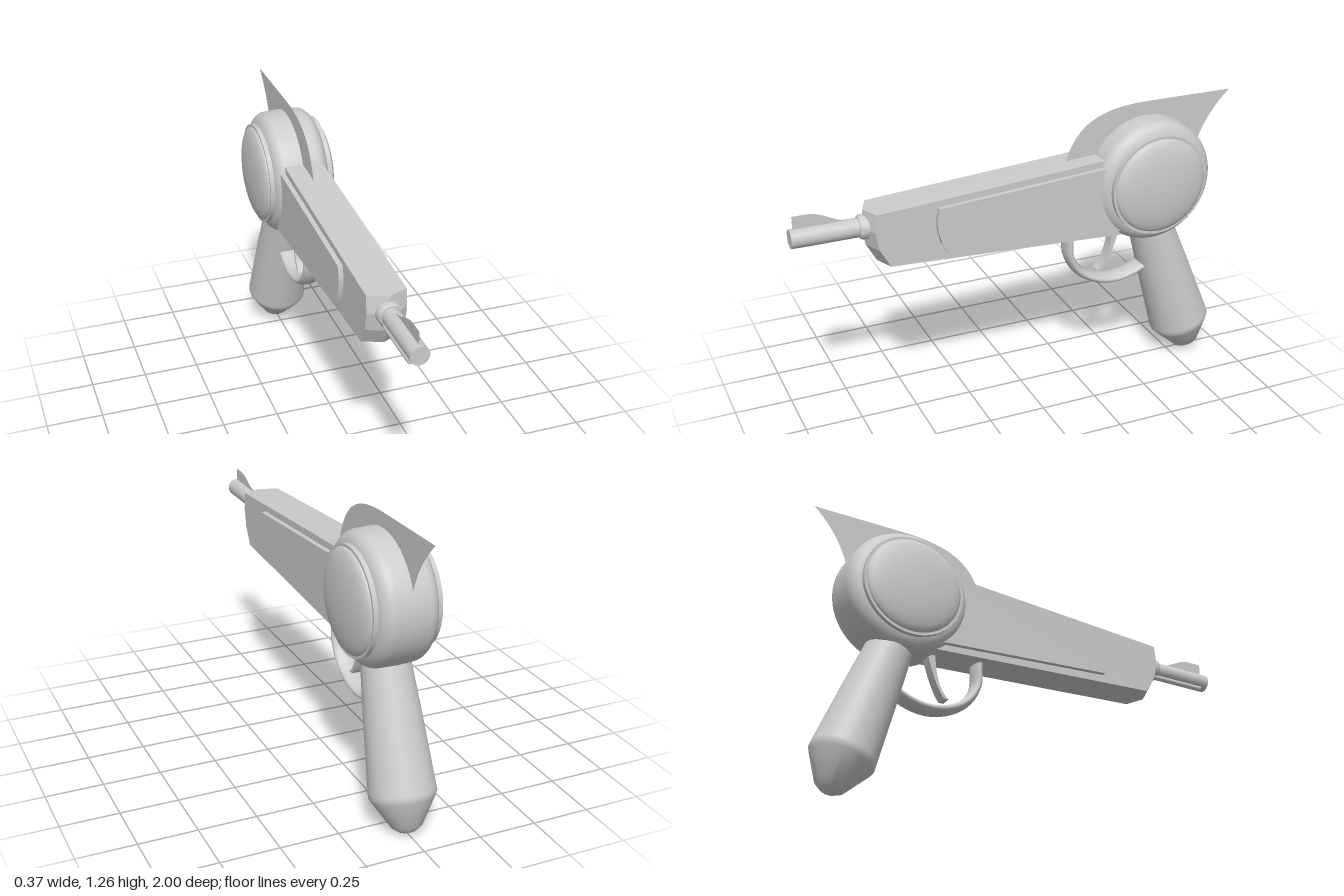
import * as THREE from 'three';
import { toCreasedNormals } from 'three/addons/utils/BufferGeometryUtils.js';

const grey = new THREE.MeshStandardMaterial({ color: 0xcccccc });
const greyThin = new THREE.MeshStandardMaterial({ color: 0xcccccc, side: THREE.DoubleSide });

function add(parent, name, geometry, material = grey) {
  const mesh = new THREE.Mesh(geometry, material);
  mesh.name = name;
  parent.add(mesh);
  return mesh;
}

// Side outline given as [z, y] points
const outline = pts => new THREE.Shape(pts.map(p => new THREE.Vector2(...p)));

// Outline extruded across x, centred on x = 0
function slab(shape, width, steps = 1) {
  const g = new THREE.ExtrudeGeometry(shape, { depth: width, steps, bevelEnabled: false, curveSegments: 10 });
  return g.translate(0, 0, -width / 2).rotateY(-Math.PI / 2);
}

// Flat, two-sided sheet on the x = 0 plane
const sheet = shape => new THREE.ShapeGeometry(shape, 16).rotateY(-Math.PI / 2);

// Turned part from [radius, height] points, with hard edges kept
function turned(pts, segments = 48) {
  const g = new THREE.LatheGeometry(pts.map(p => new THREE.Vector2(...p)), segments);
  return toCreasedNormals(g, 0.6);
}

export function createModel() {
  const model = new THREE.Group();
  model.name = 'rayGun';

  // Round drum with soft shoulders
  const drum = new THREE.Group();
  drum.name = 'drum';
  drum.position.set(0, 0.917, -0.593);
  model.add(drum);
  const shoulder = [];
  for (let i = 0; i <= 8; i++) {
    const a = (i / 8) * Math.PI / 2;
    shoulder.push([0.195 + 0.078 * Math.sin(a), 0.07 + 0.06 * Math.cos(a)]);
  }
  const drumProfile = [
    [0, -0.13], ...shoulder.map(([r, h]) => [r, -h]), [0.276, 0],
    ...shoulder.slice().reverse(), [0, 0.13],
  ];
  add(drum, 'drumBody', turned(drumProfile, 64).rotateZ(Math.PI / 2));

  // Rim and domed cover on both sides
  const dome = [];
  for (let i = 0; i <= 10; i++) {
    const a = (i / 10) * Math.PI / 2;
    dome.push([0.215 * Math.cos(a), 0.14 + 0.047 * Math.sin(a)]);
  }
  for (const [side, s] of [['left', 1], ['right', -1]]) {
    const rim = turned([[0.225, 0.08], [0.225, 0.145], [0.212, 0.145]], 64);
    add(drum, side + 'Rim', rim.rotateZ(-s * Math.PI / 2));
    const cover = turned([[0.215, 0.12], ...dome], 64);
    add(drum, side + 'Cover', cover.rotateZ(-s * Math.PI / 2));
  }

  // Tapered barrel housing with a wedge-shaped nose
  const housing = slab(outline([
    [-0.5, 1.058], [-0.5, 0.683], [0.645, 0.74], [0.69, 0.82], [0.705, 0.9], [0.695, 0.978],
  ]), 0.166, 2);
  const p = housing.attributes.position;
  for (let i = 0; i < p.count; i++) {
    if (p.getZ(i) > 0.6 && Math.abs(p.getX(i)) > 0.05) p.setZ(i, p.getZ(i) - 0.035);
  }
  housing.computeVertexNormals();
  add(model, 'barrelHousing', toCreasedNormals(housing, 0.25));

  // Raised side panels
  for (const [side, s] of [['left', 1], ['right', -1]]) {
    const panel = slab(outline([
      [-0.45, 1.025], [-0.45, 0.713], [0.37, 0.763], [0.395, 0.81], [0.41, 0.87], [0.412, 0.92], [0.4, 0.967],
    ]), 0.04);
    add(model, side + 'Panel', toCreasedNormals(panel, 0.5)).position.x = s * 0.084;
  }

  // Muzzle: collar, tube and thin rod below
  const muzzle = new THREE.Group();
  muzzle.name = 'muzzle';
  muzzle.position.set(0, 0.902, 0);
  model.add(muzzle);
  add(muzzle, 'collar', turned([
    [0.053, 0.64], [0.053, 0.695], [0.051, 0.71], [0.045, 0.718], [0.035, 0.718],
  ], 32).rotateX(Math.PI / 2));
  add(muzzle, 'tube', new THREE.CylinderGeometry(0.04, 0.04, 0.34, 32).rotateX(Math.PI / 2)).position.z = 0.83;
  add(muzzle, 'rod', new THREE.CylinderGeometry(0.011, 0.011, 0.28, 12).rotateX(Math.PI / 2))
    .position.set(-0.022, -0.044, 0.822);

  // Front sight blade
  const sight = new THREE.Shape();
  sight.moveTo(0.985, 0.92);
  sight.lineTo(0.985, 0.997);
  sight.lineTo(0.93, 0.997);
  sight.bezierCurveTo(0.86, 0.997, 0.83, 0.955, 0.765, 0.943);
  sight.lineTo(0.765, 0.92);
  add(model, 'frontSight', sheet(sight), greyThin);

  // Swept fin over the drum
  const fin = new THREE.Shape();
  fin.moveTo(-0.21, 1.0);
  fin.lineTo(-0.21, 1.045);
  fin.bezierCurveTo(-0.26, 1.18, -0.34, 1.255, -0.6, 1.255);
  fin.lineTo(-1, 1.255);
  fin.quadraticCurveTo(-0.89, 1.16, -0.843, 1.02);
  fin.lineTo(-0.7, 0.95);
  add(model, 'fin', sheet(fin), greyThin);

  // Grip with a tapered butt, leaning back
  const grip = add(model, 'grip', turned([
    [0, -0.157], [0.035, -0.148], [0.063, -0.127], [0.13, -0.012], [0.138, 0.004],
    [0.137, 0.02], [0.117, 0.32], [0.1, 0.54], [0.094, 0.64],
  ]));
  grip.position.set(0, 0.15, -0.81);
  grip.rotation.x = 0.33;

  // Trigger guard: a wide flattened loop
  const guardPath = new THREE.CatmullRomCurve3([
    [0.74, -0.222], [0.67, -0.224], [0.59, -0.228], [0.51, -0.275], [0.458, -0.36],
    [0.442, -0.45], [0.455, -0.53], [0.49, -0.61], [0.51, -0.65],
  ].map(([y, z]) => new THREE.Vector3(0, y, z)));
  add(model, 'triggerGuard', new THREE.TubeGeometry(guardPath, 40, 0.02, 16).scale(2.35, 1, 1));

  // Curved trigger
  const trigger = new THREE.Shape();
  trigger.moveTo(-0.43, 0.72);
  trigger.quadraticCurveTo(-0.43, 0.55, -0.363, 0.498);
  trigger.lineTo(-0.385, 0.498);
  trigger.quadraticCurveTo(-0.43, 0.55, -0.475, 0.72);
  add(model, 'trigger', toCreasedNormals(slab(trigger, 0.05), 0.5));

  return model;
}
